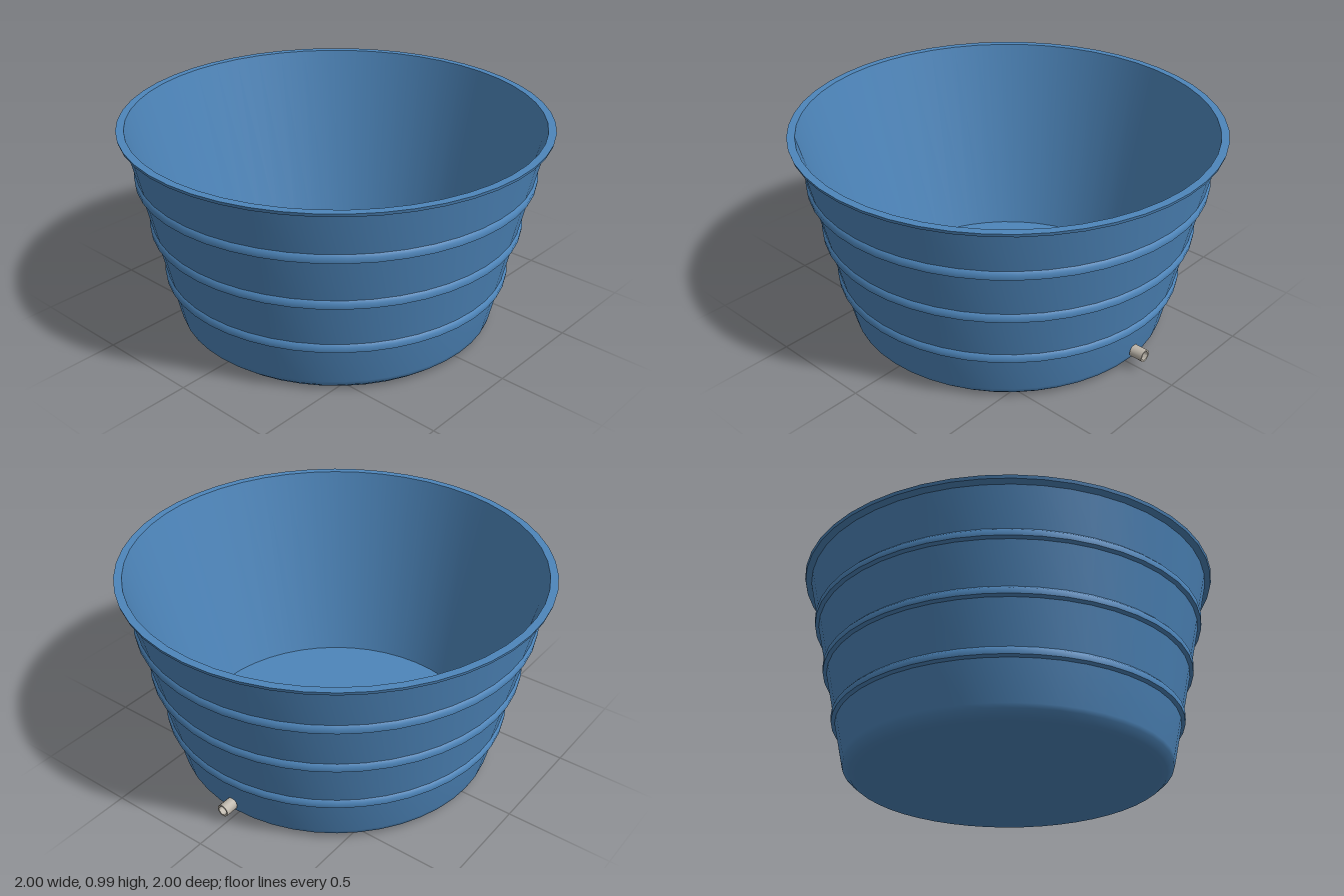
import * as THREE from 'three';
import { toCreasedNormals } from 'three/addons/utils/BufferGeometryUtils.js';

const SIDES = 48;

function lathe(points, sides, crease) {
  const profile = points.map(([r, y]) => new THREE.Vector2(r, y));
  return toCreasedNormals(new THREE.LatheGeometry(profile, sides), crease);
}

// Radius of the sloping outer wall at a given height
const wallRadius = (y) => 0.765 + (y - 0.64) * 0.219;

export function createModel() {
  const model = new THREE.Group();
  const blue = new THREE.MeshStandardMaterial({ color: 0x4d85ba });
  blue.name = 'blue plastic';
  const metal = new THREE.MeshStandardMaterial({ color: 0xbdb6ab });
  metal.name = 'pale metal';

  // Tub: underside, ribbed outer wall, flared rim, inner wall and floor
  const profile = [[0, 0.605], [0.7, 0.605], [0.73, 0.607], [0.762, 0.635], [0.768, 0.655]];
  for (const y of [0.86, 1.108, 1.352]) {
    const r = wallRadius(y);
    profile.push(
      [wallRadius(y - 0.022), y - 0.022],
      [r + 0.013, y - 0.015],
      [r + 0.016, y + 0.01],
      [wallRadius(y + 0.022), y + 0.022],
    );
  }
  profile.push(
    [wallRadius(1.565), 1.565], [0.996, 1.575], [1, 1.59],
    [0.964, 1.59], [0.725, 0.63], [0, 0.63],
  );
  const tub = new THREE.Mesh(lathe(profile, SIDES, 0.9), blue);
  tub.name = 'tub';
  model.add(tub);

  // Drain spout: short hollow pipe on the left side
  const pipe = [[0.022, 0], [0.03, 0], [0.03, 0.065], [0.022, 0.065], [0.022, 0]];
  const spout = new THREE.Mesh(lathe(pipe, 12, 0.7), metal);
  spout.name = 'drainSpout';
  spout.rotation.z = -Math.PI / 2;
  spout.position.set(0.78, 0.688, 0);
  model.add(spout);

  return model;
}
